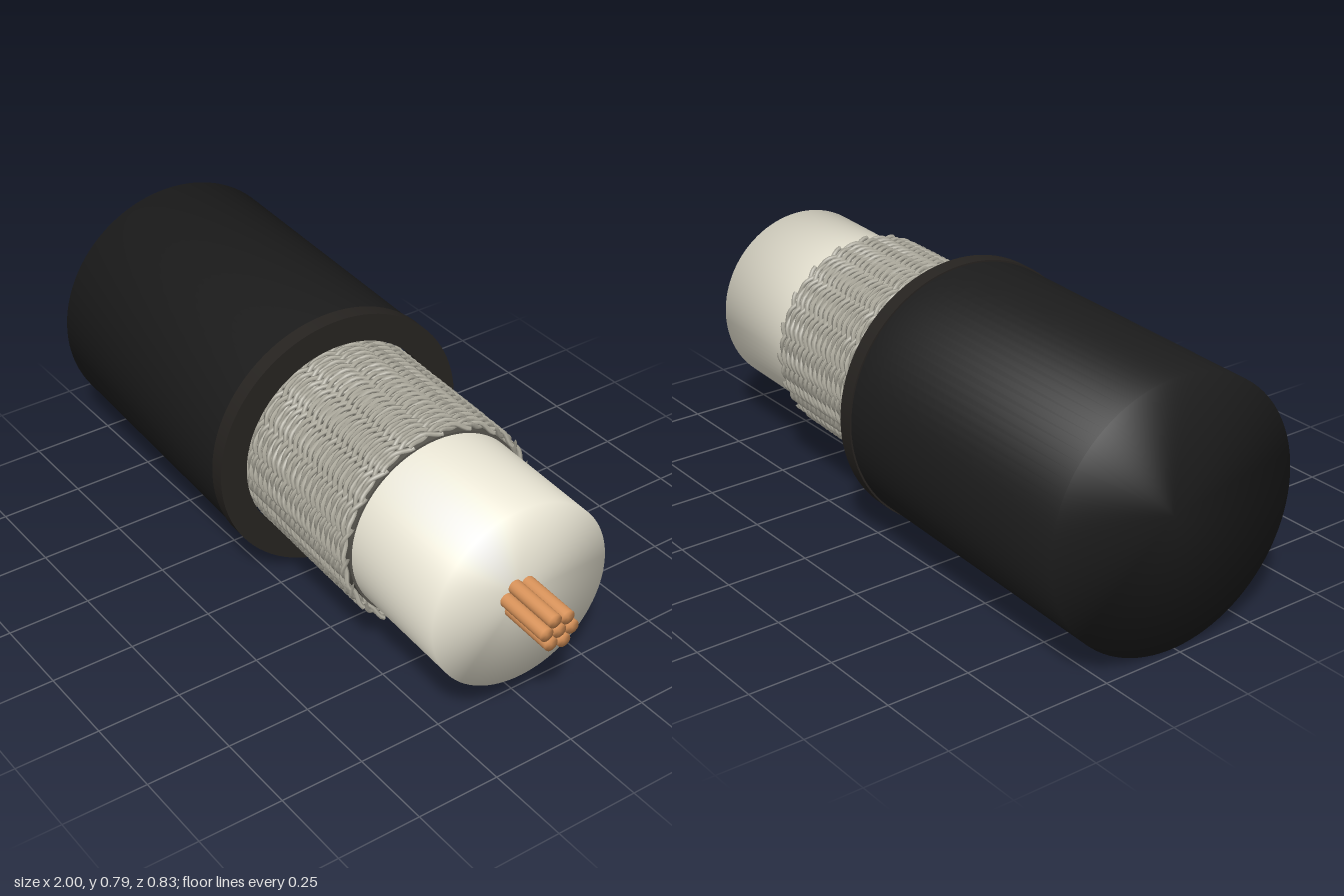
import * as THREE from 'three';

const mat = (color, extra = {}) => new THREE.MeshStandardMaterial({ color, ...extra });

// Solid of revolution about the cable axis (+x); profile is [radius, position along axis]
function turned(name, profile, material, segments = 96) {
  const geo = new THREE.LatheGeometry(profile.map(([r, s]) => new THREE.Vector2(r, s)), segments);
  geo.rotateZ(-Math.PI / 2);
  const mesh = new THREE.Mesh(geo, material);
  mesh.name = name;
  return mesh;
}

// One braid wire: a helix whose radius waves over and under the opposite set
class BraidWire extends THREE.Curve {
  constructor(start, end, phase, dir, starts, lead) {
    super();
    Object.assign(this, { start, end, phase, dir, starts, lead });
  }
  getPoint(t, target = new THREE.Vector3()) {
    const s = THREE.MathUtils.lerp(this.start, this.end, t);
    const a = this.phase + this.dir * (s - this.start) / this.lead * Math.PI * 2;
    const r = 0.297 + this.dir * 0.0065 * Math.cos(this.starts * a);
    return target.set(s, r * Math.cos(a), r * Math.sin(a));
  }
}

export function createModel() {
  const model = new THREE.Group();
  model.name = 'cutawayCable';
  const cable = new THREE.Group();
  cable.name = 'cable';
  cable.position.set(0, 0.397, 0.017);
  cable.rotation.y = -0.043;
  model.add(cable);

  // Outer jacket with closed rear end
  cable.add(turned('jacket', [[0, -0.983], [0.39, -0.983], [0.39, -0.076]], mat(0x1c1c1c)));

  // Collar at the cut end of the jacket, sharp edged
  cable.add(turned('jacketCollar',
    [[0.39, -0.078], [0.395, -0.078], [0.395, -0.078], [0.395, -0.03], [0.395, -0.03],
      [0.312, -0.03], [0.312, -0.03], [0.312, -0.078]], mat(0x262320)));

  // Dark sleeve seen through the braid
  cable.add(turned('braidSleeve',
    [[0.284, -0.08], [0.284, 0.455], [0.284, 0.455], [0.276, 0.455]], mat(0x55534c)));

  // Woven shield: two sets of counter-wound wires
  const braid = new THREE.Group();
  braid.name = 'braidedShield';
  const wireMat = mat(0xb0ada0);
  const starts = 20, lead = 0.5;
  for (const dir of [1, -1]) {
    for (let i = 0; i < starts; i++) {
      const path = new BraidWire(-0.07, 0.457, i / starts * Math.PI * 2, dir, starts, lead);
      const wire = new THREE.Mesh(new THREE.TubeGeometry(path, 168, 0.007, 5), wireMat);
      wire.name = 'braidWire';
      braid.add(wire);
    }
  }
  cable.add(braid);

  // Insulating core
  cable.add(turned('insulation', [[0.277, 0.4], [0.277, 0.827], [0, 0.827]], mat(0xebe7d6)));

  // Seven-strand conductor
  const conductor = new THREE.Group();
  conductor.name = 'conductor';
  const copper = mat(0xd9935a);
  for (let i = 0; i < 7; i++) {
    const strand = turned('conductorStrand', [[0.0205, 0.8], [0.0205, 0.997], [0, 0.997]], copper, 20);
    if (i > 0) {
      const a = THREE.MathUtils.degToRad(7 + (i - 1) * 60);
      strand.position.set(0, 0.041 * Math.sin(a), 0.041 * Math.cos(a));
    }
    conductor.add(strand);
  }
  conductor.position.z = 0.003;
  cable.add(conductor);

  return model;
}
